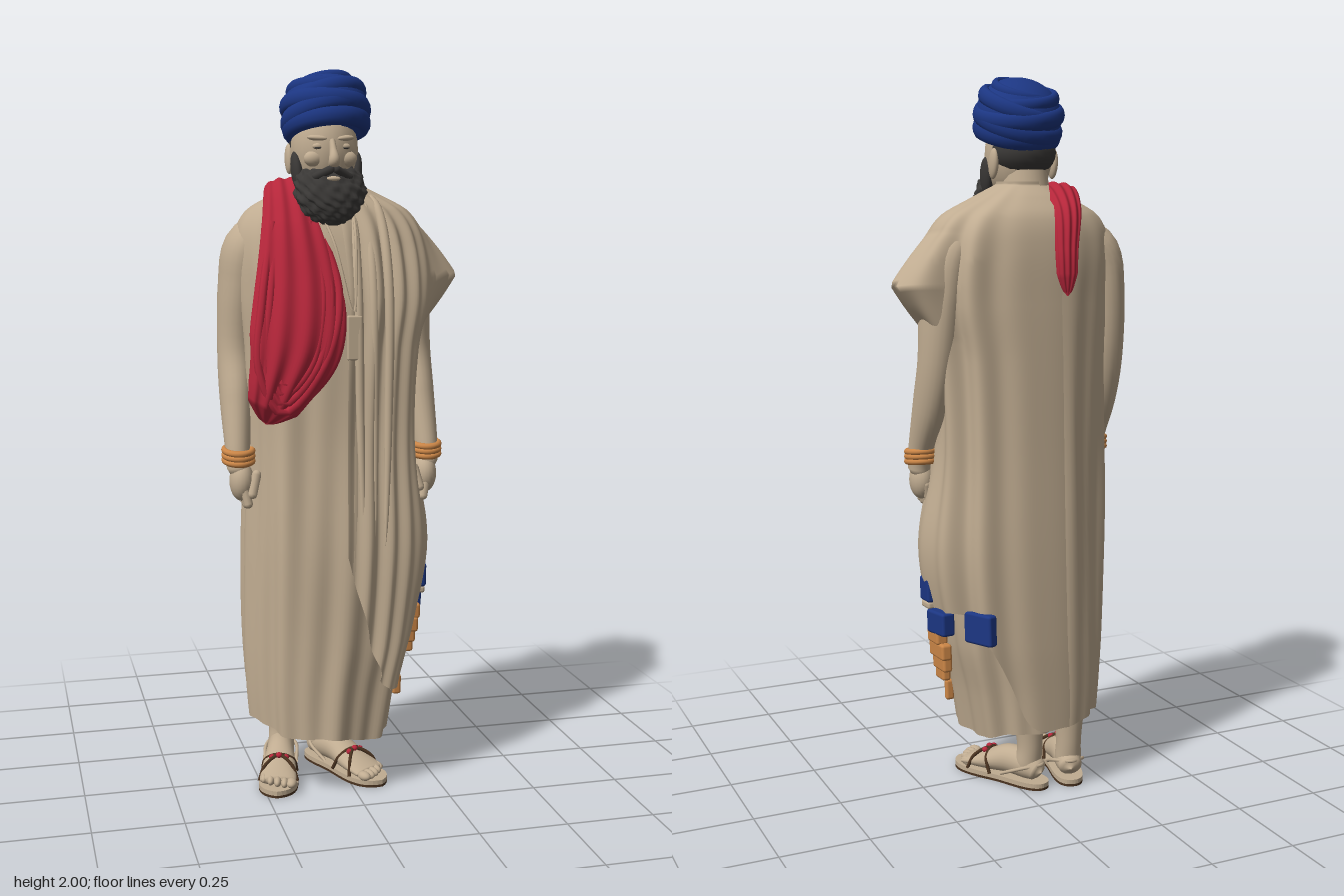
import * as THREE from 'three';
import { ParametricGeometry } from 'three/addons/geometries/ParametricGeometry.js';
import { RoundedBoxGeometry } from 'three/addons/geometries/RoundedBoxGeometry.js';

const mat = (name, color) => Object.assign(new THREE.MeshStandardMaterial({ color, side: THREE.DoubleSide }), { name });
const V = (x, y, z) => new THREE.Vector3(x, y, z);
const { sin, cos, exp, max, abs, PI } = Math;

// Smooth interpolation of rows keyed on their first column
function sample(rows, k) {
  let i = 0;
  while (i < rows.length - 2 && k > rows[i + 1][0]) i++;
  const a = rows[i], b = rows[i + 1], h = b[0] - a[0];
  const f = Math.min(1, max(0, (k - a[0]) / h));
  const p = rows[max(0, i - 1)], n = rows[Math.min(rows.length - 1, i + 2)];
  return a.slice(1).map((_, j) => {
    const c = j + 1;
    const m0 = (b[c] - p[c]) / (b[0] - p[0]) * h, m1 = (n[c] - a[c]) / (n[0] - a[0]) * h;
    const f2 = f * f, f3 = f2 * f;
    return (2 * f3 - 3 * f2 + 1) * a[c] + (f3 - 2 * f2 + f) * m0 + (3 * f2 - 2 * f3) * b[c] + (f3 - f2) * m1;
  });
}

// Tapered sweep through [x, y, z, radiusA, radiusB]; B lies along ref
function limb(pts, ref = V(0, 0, 1), ridge = 0, count = 14, nu = 24, nv = 28) {
  const path = new THREE.CatmullRomCurve3(pts.map(p => V(p[0], p[1], p[2])), false, 'catmullrom');
  const size = new THREE.CatmullRomCurve3(pts.map(p => V(p[3], p[4] ?? p[3], 0)), false, 'catmullrom');
  return new ParametricGeometry((u, v, out) => {
    // the ends close up within a short distance
    const end = max(0.03, Math.sqrt(Math.min(1, Math.min(v, 1 - v) * 16)));
    const t = path.getTangent(v), a = t.clone().cross(ref).normalize(), b = a.clone().cross(t);
    const phi = -u * PI * 2, r = size.getPoint(v), k = end * (1 + ridge * sin(count * phi));
    out.copy(path.getPoint(v)).addScaledVector(a, r.x * k * cos(phi)).addScaledVector(b, r.y * end * sin(phi));
  }, nu, nv);
}

// Robe rings: y, xMin, xMax, zBack, zFront
const RINGS = [
  [0.14, -0.265, 0.115, -0.2, 0.2], [0.3, -0.28, 0.145, -0.207, 0.2], [0.45, -0.287, 0.18, -0.212, 0.2],
  [0.7, -0.287, 0.2, -0.212, 0.197], [1.0, -0.28, 0.2, -0.205, 0.175], [1.25, -0.282, 0.21, -0.2, 0.17],
  [1.4, -0.295, 0.235, -0.195, 0.16], [1.55, -0.3, 0.225, -0.185, 0.122], [1.63, -0.265, 0.18, -0.165, 0.088],
  [1.68, -0.18, 0.085, -0.125, 0.055], [1.715, -0.115, 0.01, -0.085, 0.03]];
const full = c => c * (1.1 - 0.1 * c * c); // slightly squared ellipse
function ringPoint(y, th, off, out) {
  const [xl, xr, zb, zf] = sample(RINGS, y);
  return out.set((xl + xr) / 2 + ((xr - xl) / 2 + off) * full(cos(th)), y, (zb + zf) / 2 + ((zf - zb) / 2 + off) * full(sin(th)));
}
const rise = v => 1 - (1 - v) ** 1.6;

export function createModel() {
  const model = new THREE.Group();
  const beige = mat('beige', 0xc0ac91), red = mat('red', 0xb5263a), blue = mat('blue', 0x1c3682);
  const orange = mat('orange', 0xcb8647), dark = mat('charcoal', 0x3b3937), brown = mat('brown', 0x4a3320);
  const add = (name, geo, m, pos = [0, 0, 0], rot = [0, 0, 0], scale = [1, 1, 1], parent = model) => {
    const mesh = new THREE.Mesh(geo, m);
    mesh.name = name;
    mesh.position.set(...pos); mesh.rotation.set(...rot); mesh.scale.set(...scale);
    parent.add(mesh);
    return mesh;
  };
  const ball = (name, m, pos, scale, parent, rot) => add(name, new THREE.SphereGeometry(1, 20, 14), m, pos, rot, scale, parent);
  const tube = (name, m, pts, r, parent) =>
    add(name, new THREE.TubeGeometry(new THREE.CatmullRomCurve3(pts.map(p => V(...p))), 36, r, 8), m, undefined, undefined, undefined, parent);

  // Long robe with hanging folds
  add('robe', new ParametricGeometry((u, v, out) => {
    const th = -u * PI * 2, hem = 0.185 - 0.025 * cos(th - 0.5) + 0.006 * sin(5 * th);
    const y = hem + (1.715 - hem) * rise(v), k = Math.min(1, (1.75 - y) * 1.1);
    const fold = 0.006 * sin(9 * th + 0.8 * sin(3 * y)) + 0.004 * sin(17 * th + 2 * y) + 0.004 * sin(5 * th - 4 * y);
    ringPoint(y, th, fold * k, out);
  }, 140, 60), beige);

  // Pleated shawl over the left shoulder, with an uneven hem and a pointed sleeve edge
  const HEM = [[-1.75, 0.2], [-1.2, 0.23], [-0.9, 0.45], [-0.5, 0.55], [0, 0.48], [0.4, 0.31], [0.9, 0.31], [1.25, 0.45], [1.55, 0.7]];
  add('shawl', new ParametricGeometry((u, v, out) => {
    const th = 1.55 - u * 3.3, hem = sample(HEM, th)[0], y = hem + (1.722 - hem) * rise(v);
    const front = exp(-(((th - 1.15) / 0.6) ** 2)), back = exp(-(((th + 0.6) / 0.5) ** 2));
    const loose = Math.min(1, max(0, (1.72 - y) * 5));
    const slit = exp(-(((th - 0.1) / 0.45) ** 2)) * exp(-(((y - 1.05) / 0.25) ** 2));
    const tip = max(0, 1 - abs(y - 1.45) / 0.14) * exp(-(((th + 0.12) / 0.32) ** 2));
    const low = exp(-(((y - 0.7) / 0.2) ** 2)) * exp(-((th / 0.7) ** 2));
    const off = 0.012 + loose * (0.01 * front * sin(24 * th + 1.5 * y) + back * (0.006 + 0.015 * sin(13 * th + 0.5)))
      - 0.014 * slit + 0.1 * tip + 0.035 * low;
    ringPoint(y, th, off, out);
  }, 150, 66), beige);
  // Pleats along the front edge of the shawl, fading downwards
  [0, 1, 2].forEach(i => add('shawlPleat', limb([[0.005 + i * 0.02, 1.69, -0.02 + i * 0.005, 0.01], [0.005 + i * 0.038, 1.62, 0.085, 0.013],
    [i * 0.045, 1.4, 0.17 - i * 0.006, 0.013], [0.005 + i * 0.04, 1.05, 0.18 - i * 0.004, 0.011], [0.012 + i * 0.03, 0.72, 0.197, 0.005]],
  V(1, 0, 0)), beige));

  // Red scarf over the right shoulder: wide loop in front, narrow strip behind
  add('scarf', limb([[-0.25, 1.065, 0.15, 0.03, 0.055], [-0.215, 1.16, 0.17, 0.045, 0.09], [-0.17, 1.28, 0.17, 0.045, 0.128],
    [-0.152, 1.43, 0.138, 0.038, 0.122], [-0.153, 1.59, 0.073, 0.036, 0.09], [-0.15, 1.69, -0.02, 0.028, 0.065],
    [-0.12, 1.645, -0.15, 0.028, 0.045], [-0.1, 1.54, -0.198, 0.022, 0.034], [-0.1, 1.42, -0.207, 0.016, 0.028]],
  V(1, 0, 0), 0.11, 11, 100, 80), red);
  [0, 1, 2, 3].forEach(i => {
    const w = 1 - i * 0.22;
    tube('scarfFold', red, [[-0.155 - 0.06 * w, 1.6, 0.085], [-0.165 - 0.095 * w, 1.4, 0.167], [-0.19 - 0.085 * w, 1.21, 0.197],
      [-0.215, 1.21 - 0.11 * w, 0.211 - 0.012 * w], [-0.185 + 0.08 * w, 1.22, 0.205], [-0.152 + 0.1 * w, 1.4, 0.17], [-0.15 + 0.06 * w, 1.6, 0.09]], 0.012);
  });

  // Neck cord and pendant
  tube('neckCord', beige, [[-0.1, 1.68, 0.03], [-0.06, 1.55, 0.14], [-0.015, 1.36, 0.182], [0.0, 1.55, 0.145], [0.01, 1.67, 0.05]], 0.004);
  add('pendant', new RoundedBoxGeometry(0.042, 0.12, 0.014, 2, 0.005), beige, [-0.013, 1.295, 0.183]);

  // Arms, hands and bracelets
  for (const s of [-1, 1]) {
    const arm = new THREE.Group();
    arm.name = s < 0 ? 'rightArm' : 'leftArm';
    arm.position.x = -0.04;
    model.add(arm);
    const M = (x, ...r) => [s * x, ...r];
    add('arm', limb([M(0.13, 1.6, -0.05, 0.04, 0.06), M(0.22, 1.54, -0.05, 0.06, 0.09), M(0.245, 1.42, -0.055, 0.057, 0.085),
      M(0.255, 1.25, -0.05, 0.052, 0.066), M(0.262, 1.12, -0.012, 0.046, 0.062), M(0.27, 0.98, 0.045, 0.034, 0.04),
      M(0.27, 0.9, 0.06, 0.03, 0.036)]), beige, undefined, undefined, undefined, arm);
    ball('palm', beige, M(0.262, 0.895, 0.06), [0.034, 0.055, 0.044], arm);
    for (let i = 0; i < 4; i++)
      add('finger', new THREE.CapsuleGeometry(0.0125, 0.05, 4, 10), beige, M(0.255, 0.855 + abs(i - 1.5) * 0.004, 0.03 + i * 0.02),
        [-0.15, 0, -s * 0.2], undefined, arm);
    add('thumb', new THREE.CapsuleGeometry(0.013, 0.055, 4, 10), beige, M(0.232, 0.89, 0.092), [-0.2, 0, s * 0.25], undefined, arm);
    [-1, 0, 1].forEach(i => add('bracelet', new THREE.TorusGeometry(0.038, 0.009, 10, 32), orange,
      M(0.268, 0.966 + i * 0.014, 0.046), [PI / 2 + 0.12, 0, 0], [1, 1.18, 1], arm));
  }

  // Head and neck
  const head = new THREE.Group();
  head.name = 'head';
  head.position.set(-0.058, 1.77, 0.02);
  model.add(head);
  add('neck', new THREE.CylinderGeometry(0.062, 0.076, 0.16, 28), beige, [0, -0.08, -0.045], [0.15, 0, 0], undefined, head);
  ball('skull', beige, [0, 0.02, 0], [0.092, 0.13, 0.102], head);
  ball('hair', dark, [0, 0.03, -0.035], [0.091, 0.07, 0.086], head);
  add('nose', limb([[0, 0.05, 0.09, 0.008, 0.01], [0, 0.02, 0.107, 0.01, 0.013], [0, -0.006, 0.12, 0.015, 0.016], [0, -0.02, 0.112, 0.014, 0.01]]),
    beige, undefined, undefined, undefined, head);
  for (const s of [-1, 1]) {
    ball('brow', beige, [s * 0.038, 0.052, 0.084], [0.028, 0.008, 0.013], head, [0, s * 0.35, s * 0.08]);
    ball('eyelid', beige, [s * 0.036, 0.03, 0.086], [0.016, 0.009, 0.01], head);
    ball('eye', dark, [s * 0.036, 0.026, 0.093], [0.012, 0.0025, 0.003], head);
    ball('cheek', beige, [s * 0.045, -0.002, 0.074], [0.028, 0.022, 0.02], head);
    ball('ear', beige, [s * 0.09, 0.0, -0.035], [0.012, 0.042, 0.022], head, [-0.15, 0, 0]);
    add('moustache', new THREE.CapsuleGeometry(0.011, 0.045, 4, 10), dark, [s * 0.027, -0.04, 0.104], [0, s * 0.45, s * 1.15], undefined, head);
  }
  ball('lip', beige, [0, -0.055, 0.11], [0.02, 0.007, 0.008], head);

  // Curly beard with sideburns
  const beard = new THREE.SphereGeometry(1, 64, 44), p = beard.attributes.position;
  for (let i = 0; i < p.count; i++) {
    const x = p.getX(i), y = p.getY(i), z = p.getZ(i);
    const curl = 1 + 0.06 * sin(15 * x + 4 * y) * sin(13 * y + 5 * z) + 0.04 * sin(24 * z + 9 * x) * cos(19 * y);
    p.setXYZ(i, x * 0.097 * curl * (1 + 0.1 * y), y * 0.083 * curl, z * 0.058 * curl - y * 0.022);
  }
  beard.computeVertexNormals();
  add('beard', beard, dark, [0, -0.092, 0.07], undefined, undefined, head);
  for (const s of [-1, 1])
    ball('sideburn', dark, [s * 0.082, -0.035, 0.03], [0.016, 0.055, 0.028], head, [-0.2, 0, -s * 0.1]);

  // Wound turban, lower at the back
  const turban = new THREE.Group();
  turban.name = 'turban';
  turban.position.set(-0.05, 1.9, 0);
  turban.rotation.x = -0.28;
  model.add(turban);
  add('crown', new THREE.SphereGeometry(1, 40, 28), blue, undefined, undefined, [0.117, 0.1, 0.124], turban);
  [[0.101, -0.045, 0.02, 0.04, 0.02], [0.107, -0.02, -0.1, 0.13, 0.018], [0.108, 0.003, 0.06, -0.1, 0.017], [0.102, 0.026, -0.06, 0.2, 0.015],
    [0.092, 0.045, 0.06, -0.12, 0.013], [0.072, 0.066, -0.05, 0.1, 0.011]]
    .forEach(([r, y, rx, rz, t]) => add('wrap', new THREE.TorusGeometry(r, t, 12, 48), blue, [0, y, 0], [PI / 2 + rx, rz, 0], [1, 1.06, 1.5], turban));

  // Coloured tassels along the shawl hem
  const block = (name, m, x, y, z, w, h, d, ry = 0) => add(name, new RoundedBoxGeometry(w, h, d, 2, 0.008), m, [x, y, z], [0.06, ry, 0]);
  block('blueTassel', blue, 0.222, 0.59, 0.008, 0.036, 0.07, 0.064);
  block('paleBand', beige, 0.221, 0.546, 0.006, 0.034, 0.022, 0.056);
  block('blueTassel', blue, 0.219, 0.512, -0.068, 0.04, 0.066, 0.092, 0.15);
  block('blueTassel', blue, 0.146, 0.515, -0.178, 0.03, 0.088, 0.105, 0.35);
  [[0.47, -0.045, 0.075], [0.43, -0.058, 0.1], [0.395, -0.062, 0.085], [0.365, -0.055, 0.06]]
    .forEach(([y, z, d], i) => block('orangeTassel', orange, 0.22 - i * 0.004, y, z, 0.034 - i * 0.003, 0.046, d));
  block('orangeTassel', orange, 0.15, 0.27, 0.04, 0.026, 0.06, 0.02);

  // Legs, feet and sandals
  const sole = new THREE.Shape();
  sole.moveTo(0, -0.06);
  sole.bezierCurveTo(0.05, -0.06, 0.042, 0.02, 0.045, 0.08);
  sole.bezierCurveTo(0.05, 0.14, 0.085, 0.25, 0, 0.272);
  sole.bezierCurveTo(-0.085, 0.25, -0.05, 0.14, -0.045, 0.08);
  sole.bezierCurveTo(-0.042, 0.02, -0.05, -0.06, 0, -0.06);
  for (const [s, x, z, turn] of [[-1, -0.16, -0.115, -0.25], [1, -0.04, -0.105, 0.47]]) {
    const foot = new THREE.Group();
    foot.name = s < 0 ? 'rightFoot' : 'leftFoot';
    foot.position.set(x, 0, z);
    foot.rotation.y = turn;
    model.add(foot);
    const put = (name, geo, m, pos, rot) => add(name, geo, m, pos, rot, undefined, foot);
    put('leg', limb([[0, 0.4, 0.02, 0.055], [0, 0.25, 0.01, 0.05], [0, 0.13, 0, 0.037], [0, 0.07, 0.005, 0.038], [0, 0.04, 0.005, 0.035]]), beige);
    put('foot', limb([[0, 0.045, -0.042, 0.03, 0.026], [0, 0.058, 0, 0.038, 0.04], [0, 0.062, 0.07, 0.04, 0.042],
      [0, 0.045, 0.14, 0.048, 0.03], [0, 0.034, 0.2, 0.052, 0.018], [0, 0.03, 0.225, 0.05, 0.013]], V(0, 1, 0)), beige);
    for (let i = 0; i < 5; i++)
      ball('toe', beige, [s * (-0.04 + i * 0.02), 0.032, 0.238 - i * i * 0.0022], [i ? 0.0105 : 0.015, 0.013, 0.022], foot);
    for (const [name, m, top, depth] of [['sandalBase', beige, 0.02, 0.013], ['sole', brown, 0.007, 0.007]])
      put(name, new THREE.ExtrudeGeometry(sole, { depth, bevelEnabled: false, curveSegments: 16 }), m, [0, top, 0], [PI / 2, 0, 0]);
    for (const k of [-1, 1])
      tube('strap', brown, [[k * 0.05, 0.018, 0.11], [k * 0.04, 0.06, 0.13], [0, 0.079, 0.145], [-k * 0.04, 0.057, 0.175], [-k * 0.055, 0.018, 0.19]], 0.005, foot);
    tube('heelStrap', beige, [[0.047, 0.03, 0.07], [0.042, 0.06, 0], [0, 0.07, -0.042], [-0.042, 0.06, 0], [-0.047, 0.03, 0.07]], 0.005, foot);
    [-1, 0, 1].forEach(i => ball('bead', red, [i * 0.02, 0.08 - abs(i) * 0.006, 0.15], [0.009, 0.008, 0.009], foot));
  }
  return model;
}
